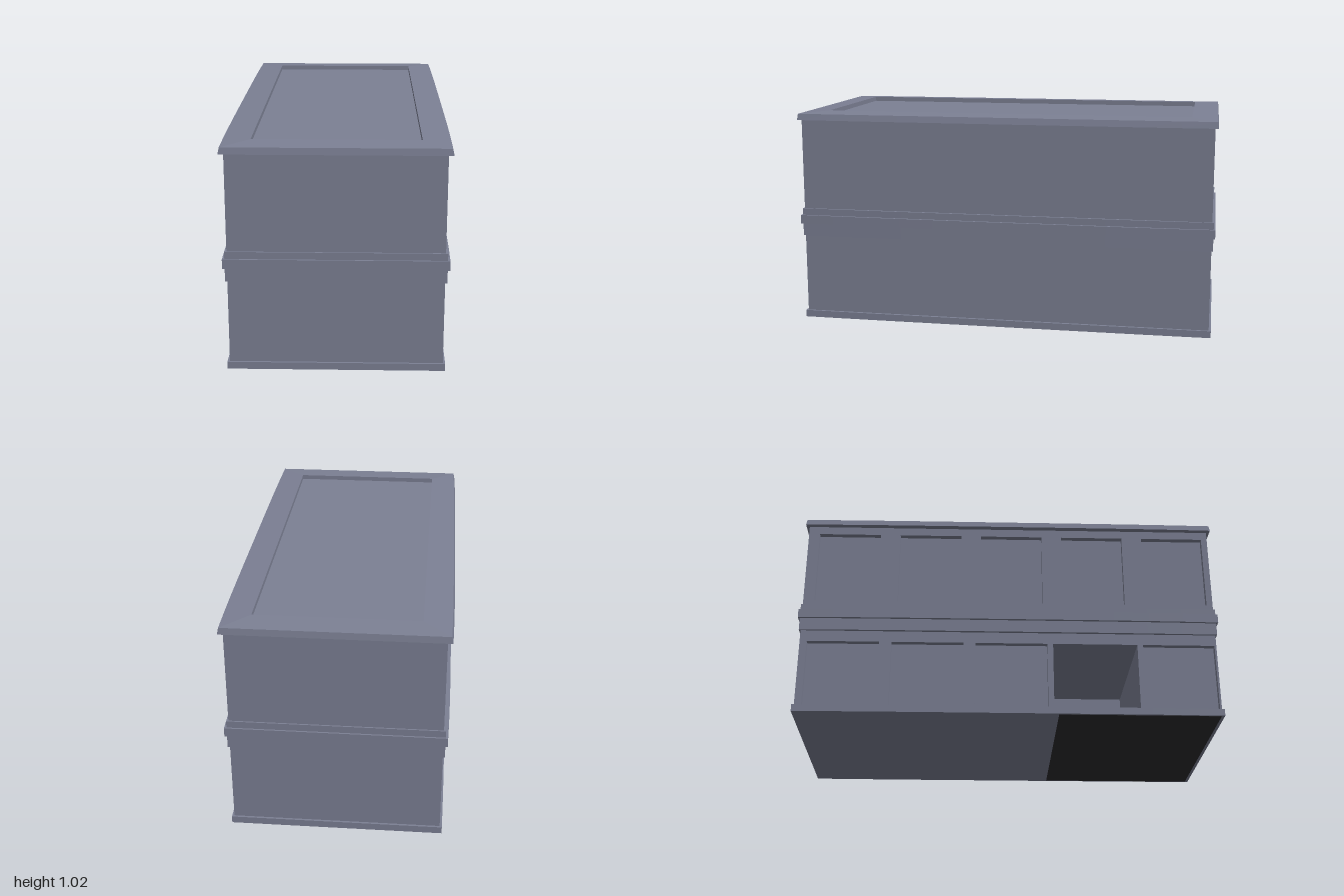
import * as THREE from 'three';

const HX = 0.472, HZ = 0.985;      // half size of the wall block
const FACADE = 0.027;              // depth of the window reveals
const TRIM = 0.033;                // top of the base trim, also the floor level
const DOOR_TOP = 0.36;

// Rectangle whose long sides swell slightly towards the middle
function ring([hx, hz, bulge, y]) {
  const n = 12, pts = [];
  for (const s of [1, -1]) {
    for (let i = 0; i <= n; i++) {
      const t = s * (1 - (2 * i) / n);
      pts.push([s * (hx + bulge * (1 - t ** 4)), y, t * hz]);
    }
  }
  return pts;
}

// Capped loft through rings given as [halfX, halfZ, bulge, y], bottom to top
function loft(profile) {
  const rings = profile.map(ring), pos = [];
  const tri = (...p) => p.forEach((v) => pos.push(...v));
  const n = rings[0].length, last = rings.length - 1;
  const c0 = [0, profile[0][3], 0], c1 = [0, profile[last][3], 0];
  for (let j = 0; j < n; j++) {
    const k = (j + 1) % n;
    for (let r = 0; r < last; r++) {
      const a = rings[r], b = rings[r + 1];
      tri(a[j], a[k], b[k]);
      tri(a[j], b[k], b[j]);
    }
    tri(c0, rings[0][k], rings[0][j]);
    tri(c1, rings[last][j], rings[last][k]);
  }
  const g = new THREE.BufferGeometry();
  g.setAttribute('position', new THREE.Float32BufferAttribute(pos, 3));
  g.computeVertexNormals();
  return g;
}

const band = (hx, hz, bulge, y0, y1) => loft([[hx, hz, bulge, y0], [hx, hz, bulge, y1]]);

function box(x0, x1, y0, y1, z0, z1) {
  const g = new THREE.BoxGeometry(x1 - x0, y1 - y0, z1 - z0);
  return g.translate((x0 + x1) / 2, (y0 + y1) / 2, (z0 + z1) / 2);
}

function rectPath(P, u0, u1, v0, v1) {
  const p = new P();
  p.moveTo(u0, v0).lineTo(u1, v0).lineTo(u1, v1).lineTo(u0, v1).closePath();
  return p;
}

export function createModel() {
  const group = new THREE.Group();
  const slate = new THREE.MeshStandardMaterial({ color: 0x7c8094 });
  slate.name = 'slate';
  const black = new THREE.MeshStandardMaterial({ color: 0x2c2c2e });
  black.name = 'black';
  const add = (name, geometry, material = slate) => {
    const m = new THREE.Mesh(geometry, material);
    m.name = name;
    group.add(m);
  };

  // Pierced facade: five bays on two floors, the fourth lower bay is the doorway
  const bay = (i) => 0.012 + 0.397 * (i - 2);
  const doorL = bay(3) - 0.2, doorR = bay(3) + 0.2;
  const wall = rectPath(THREE.Shape, -HZ, HZ, 0.01, 0.99);
  for (let i = 0; i < 5; i++) {
    const z = bay(i);
    wall.holes.push(rectPath(THREE.Path, z - 0.15, z + 0.15, 0.575, 0.945));
    wall.holes.push(i === 3
      ? rectPath(THREE.Path, doorL, doorR, TRIM, DOOR_TOP)
      : rectPath(THREE.Path, z - 0.17, z + 0.17, 0.036, DOOR_TOP));
  }
  const facade = new THREE.ExtrudeGeometry(wall, { depth: FACADE, bevelEnabled: false });
  facade.rotateY(-Math.PI / 2).translate(FACADE - HX, 0, 0);
  add('windowFacade', facade);

  // Wall block behind the facade, leaving an entrance room open
  const inner = FACADE - HX;
  add('upperWalls', box(inner, HX, DOOR_TOP, 0.99, -HZ, HZ));
  add('lowerWallsBack', box(inner, HX, 0.01, DOOR_TOP, -HZ, doorL));
  add('lowerWallsFront', box(inner, HX, 0.01, DOOR_TOP, doorR, HZ));
  add('entranceRearWall', box(0.2, HX, 0.01, DOOR_TOP, doorL, doorR));

  // Horizontal trims
  add('baseTrim', band(0.482, 0.995, 0.004, 0, TRIM));
  add('lowerBand', band(0.481, 0.992, 0.005, 0.415, 0.475));
  add('middleBand', band(0.491, 1, 0.008, 0.475, 0.518));
  add('upperBand', band(0.481, 0.992, 0.005, 0.518, 0.55));

  // Cornice with sloped rim and sunken flat roof
  add('roofCornice', loft([
    [0.494, 1, 0.006, 0.985],
    [0.488, 0.996, 0.005, 1.015],
    [0.367, 0.877, 0, 1.022],
    [0.367, 0.877, 0, 1.0],
  ]));

  // Dark plate under the entrance end
  add('undersidePlate', box(-0.475, 0.475, -0.001, 0.001, 0.23, 0.98), black);

  return group;
}
